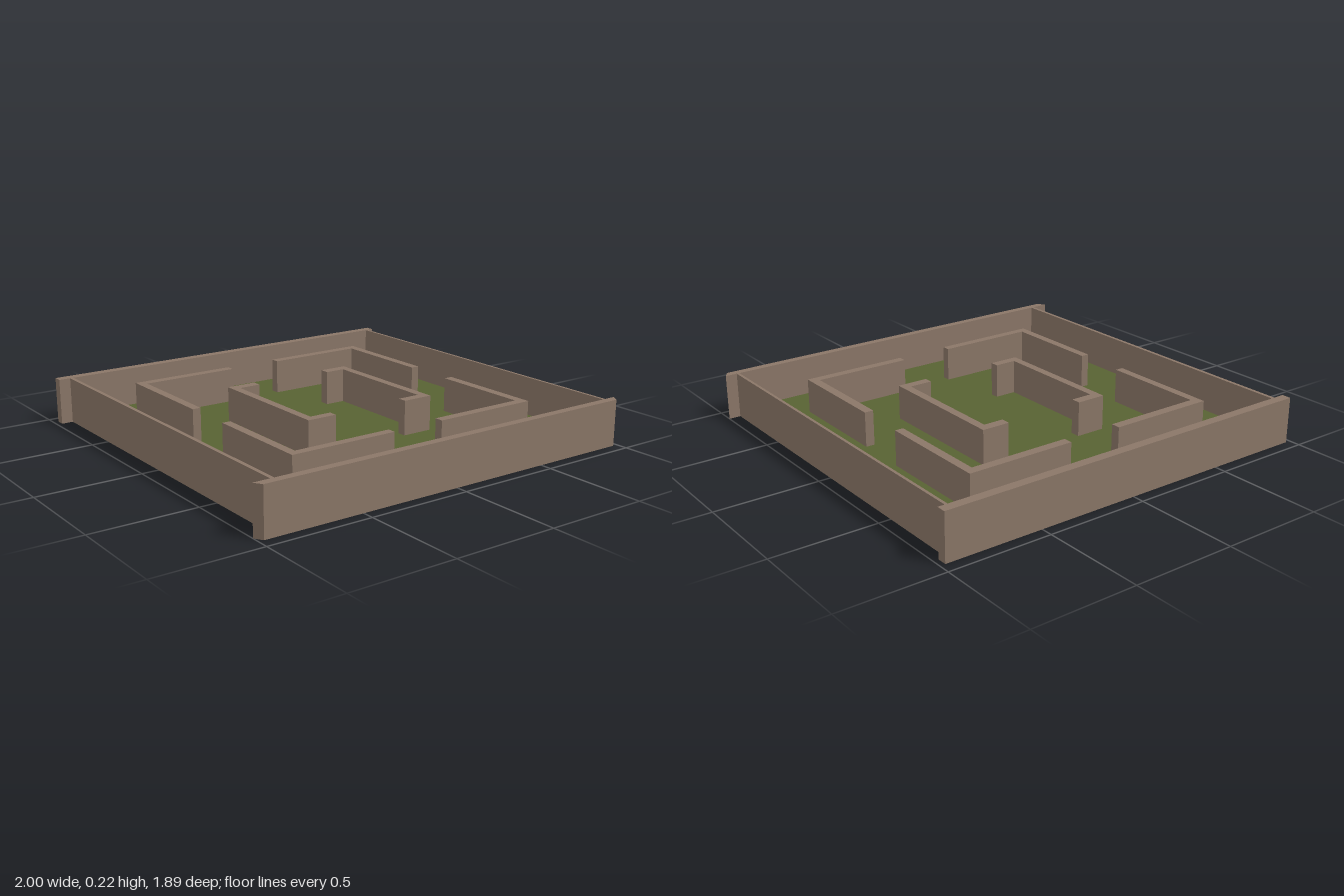
import * as THREE from 'three';

export function createModel() {
  const model = new THREE.Group();
  model.name = 'walledMaze';

  const stone = new THREE.MeshStandardMaterial({ color: 0x8a7667 });
  stone.name = 'brown stone';
  const grass = new THREE.MeshStandardMaterial({ color: 0x586232, side: THREE.DoubleSide });
  grass.name = 'green grass';

  const HEIGHT = 0.225, FLOOR = 0.035, INNER_TOP = 0.205;

  // Upright wall from a plan outline of [x, z] points
  function wall(name, plan, bottom, top, parent) {
    const shape = new THREE.Shape(plan.map(([x, z]) => new THREE.Vector2(x, -z)));
    const geometry = new THREE.ExtrudeGeometry(shape, { depth: top - bottom, bevelEnabled: false });
    geometry.rotateX(-Math.PI / 2);
    const mesh = new THREE.Mesh(geometry, stone);
    mesh.name = name;
    mesh.position.y = bottom;
    parent.add(mesh);
  }
  const rect = (x0, x1, z0, z1) => [[x0, z0], [x1, z0], [x1, z1], [x0, z1]];

  // Outer walls; the front one has slanted ends
  const outer = new THREE.Group();
  outer.name = 'outerWalls';
  wall('frontWall', [[-1, 0.905], [1, 0.905], [0.975, 0.944], [-0.975, 0.944]], 0, HEIGHT, outer);
  wall('backWall', rect(-0.975, 0.975, -0.944, -0.898), 0, HEIGHT, outer);
  wall('rightWall', rect(-0.918, -0.9, -0.898, 0.905), 0, HEIGHT, outer);
  wall('leftWall', rect(0.928, 0.942, -0.898, 0.905), 0, HEIGHT, outer);
  model.add(outer);

  // Lawn, raised a little above the foot of the outer walls
  const lawn = new THREE.Mesh(new THREE.PlaneGeometry(1.828, 1.803), grass);
  lawn.name = 'lawn';
  lawn.rotation.x = -Math.PI / 2;
  lawn.position.set(0.014, FLOOR, 0.0035);
  model.add(lawn);

  // Inner walls show just through the underside of the lawn
  const inner = new THREE.Group();
  inner.name = 'innerWalls';
  const innerWall = (name, plan) => wall(name, plan, FLOOR - 0.003, INNER_TOP, inner);

  // L-shaped corner: outer corner, inner corner, free ends of the two arms
  const corner = (xo, zo, xi, zi, xEnd, zEnd) =>
    [[xo, zo], [xEnd, zo], [xEnd, zi], [xi, zi], [xi, zEnd], [xo, zEnd]];
  innerWall('backRightCorner', corner(-0.663, -0.695, -0.622, -0.65, -0.13, -0.13));
  innerWall('backLeftCorner', corner(0.68, -0.695, 0.638, -0.65, 0.144, -0.13));
  innerWall('frontRightCorner', corner(-0.663, 0.677, -0.622, 0.636, -0.13, 0.13));
  innerWall('frontLeftCorner', corner(0.678, 0.671, 0.634, 0.628, 0.144, 0.13));

  // C-shaped bracket: outer and inner side, arm ends and arm edges from back to front
  const bracket = (xo, xi, xBack, xFront, [z0, z1, z2, z3]) =>
    [[xo, z0], [xBack, z0], [xBack, z1], [xi, z1], [xi, z2], [xFront, z2], [xFront, z3], [xo, z3]];
  innerWall('rightBracket', bracket(-0.334, -0.294, -0.184, -0.184, [-0.36, -0.312, 0.28, 0.323]));
  innerWall('leftBracket', bracket(0.368, 0.327, 0.227, 0.212, [-0.36, -0.312, 0.286, 0.331]));
  model.add(inner);

  return model;
}
